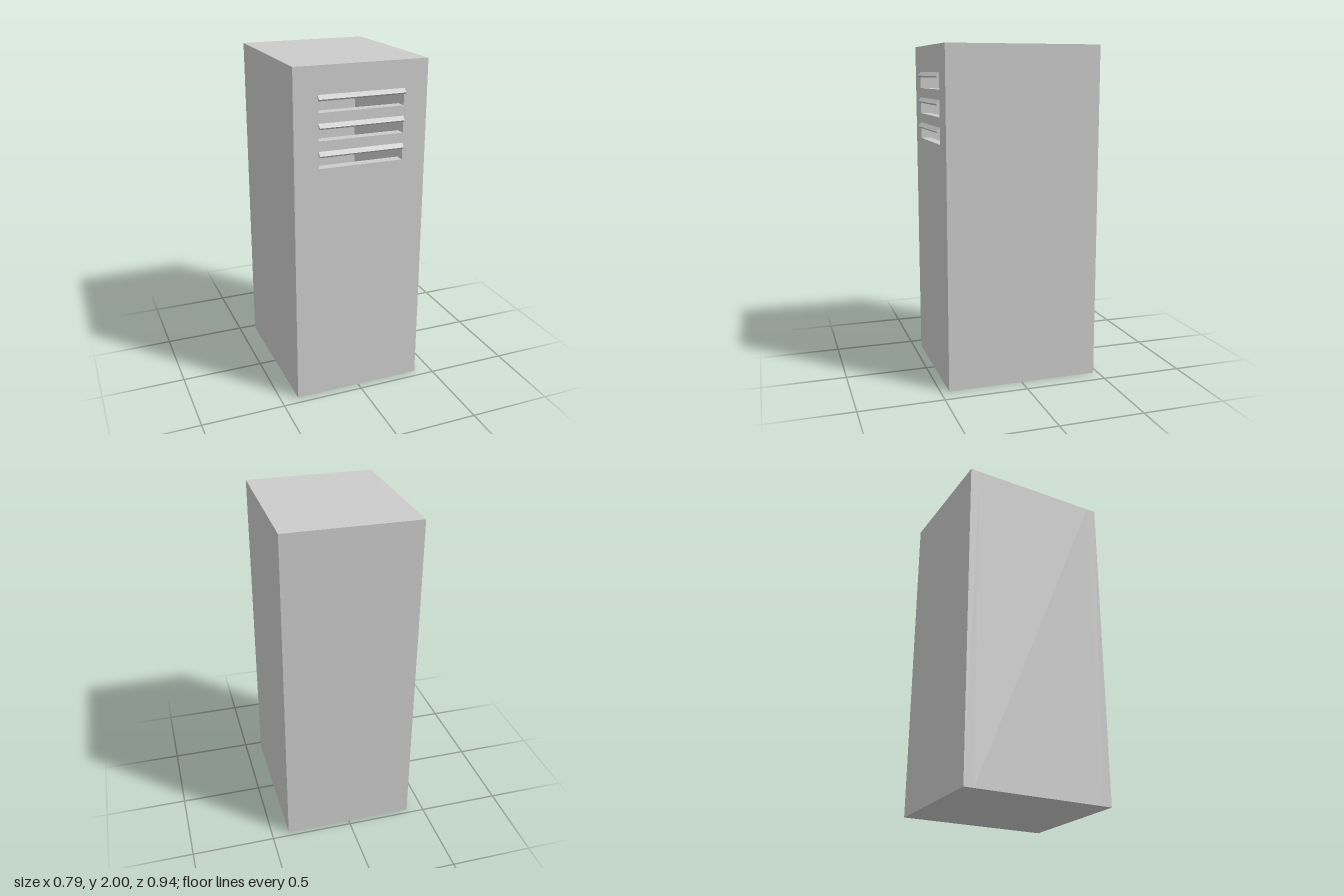
import * as THREE from 'three';

export function createModel() {
  const group = new THREE.Group();
  const material = new THREE.MeshStandardMaterial({ color: 0xcccccc });
  const W = 0.792, H = 2, BACK = -0.472, FRONT = 0.45, WALL = 0.06;
  const slotHalf = 0.253, slotHeight = 0.098, pitch = 0.156, topSlot = 1.746;

  const rect = (Type, x, y, w, h) => new Type([
    new THREE.Vector2(x, y), new THREE.Vector2(x + w, y),
    new THREE.Vector2(x + w, y + h), new THREE.Vector2(x, y + h),
  ]);
  const add = (name, geometry, x, y, z) => {
    const mesh = new THREE.Mesh(geometry, material);
    mesh.name = name;
    mesh.position.set(x, y, z);
    group.add(mesh);
    return mesh;
  };
  const extrude = (shape, depth) =>
    new THREE.ExtrudeGeometry(shape, { depth, bevelEnabled: false });

  // Hollow casing: sides, top and bottom in one sleeve
  const sleeve = rect(THREE.Shape, -W / 2, 0, W, H);
  sleeve.holes.push(rect(THREE.Path, -W / 2 + WALL, WALL, W - 2 * WALL, H - 2 * WALL));
  add('casing', extrude(sleeve, FRONT - BACK - 2 * WALL), 0, 0, BACK + WALL);

  // Back panel
  add('backPanel', new THREE.BoxGeometry(W, H, WALL), 0, H / 2, BACK + WALL / 2);

  // Front door with three vent slots, each under a sloping slat
  const door = rect(THREE.Shape, -W / 2, 0, W, H);
  for (let i = 0; i < 3; i++) {
    const y = topSlot - i * pitch;
    door.holes.push(rect(THREE.Path, -slotHalf, y, 2 * slotHalf, slotHeight));
    const width = i === 0 ? 0.514 : 2 * slotHalf;
    const slat = add('ventSlat', new THREE.BoxGeometry(width, 0.014, 0.08), 0, y + 0.099, 0.438);
    slat.rotation.x = Math.PI / 4;
  }
  add('frontDoor', extrude(door, WALL), 0, 0, FRONT - WALL);

  return group;
}
